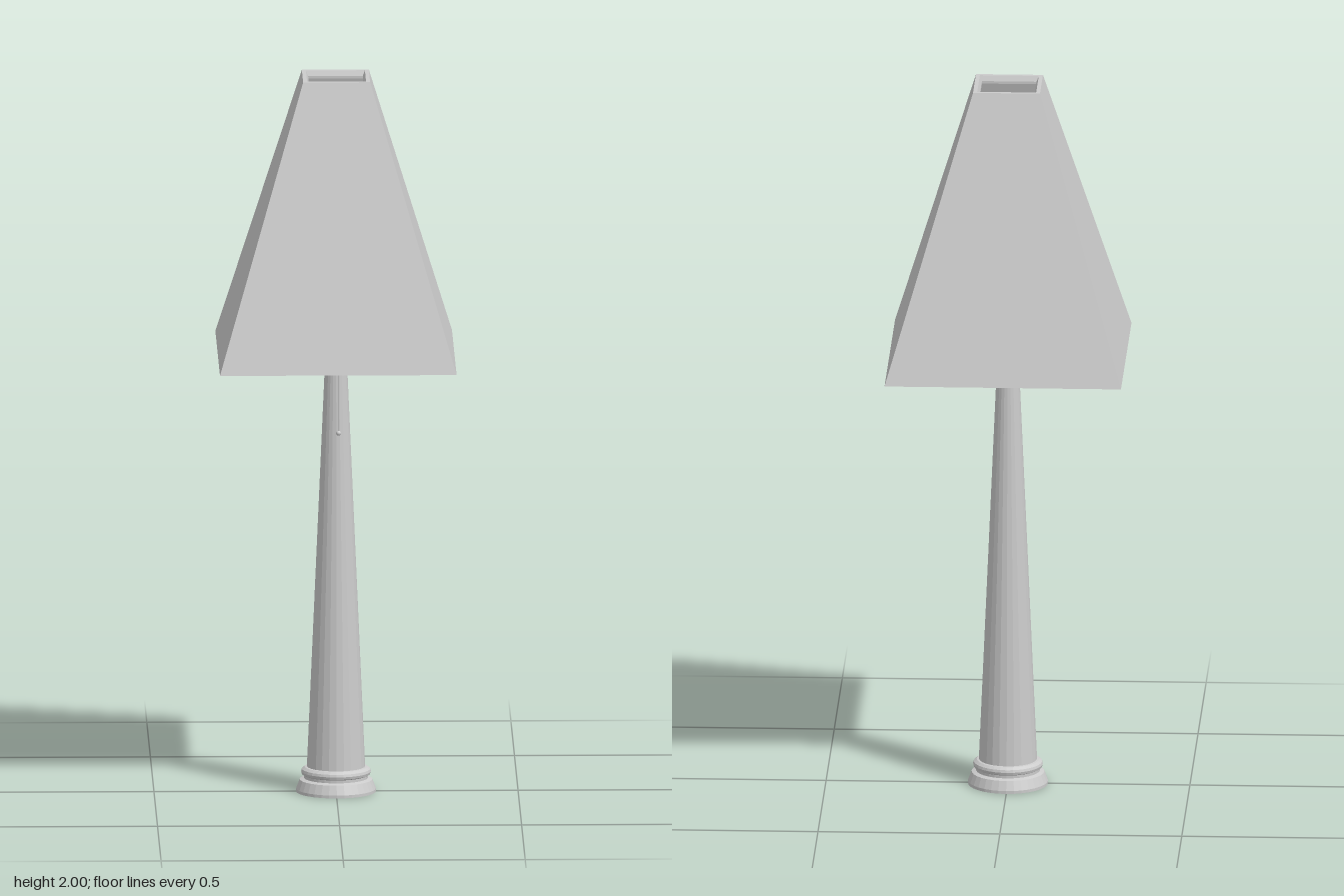
import * as THREE from 'three';

const flat = new THREE.MeshStandardMaterial({ color: 0xcccccc, flatShading: true });
const smooth = new THREE.MeshStandardMaterial({ color: 0xcccccc });

function add(parent, name, geometry, material, x = 0, y = 0, z = 0) {
  const mesh = new THREE.Mesh(geometry, material);
  mesh.name = name;
  mesh.position.set(x, y, z);
  parent.add(mesh);
  return mesh;
}

// Turned profile given as [radius, height] pairs
function lathe(points, sides, phiStart = 0) {
  return new THREE.LatheGeometry(points.map(([r, y]) => new THREE.Vector2(r, y)), sides, phiStart);
}

// Square ring or frustum: profile given as [half width, height] pairs
function squareLathe(points) {
  return lathe(points.map(([h, y]) => [h * Math.SQRT2, y]), 4, Math.PI / 4);
}

export function createModel() {
  const lamp = new THREE.Group();
  lamp.name = 'tableLamp';

  // Moulded foot with a flared plinth, a groove and a rounded ring
  add(lamp, 'foot', lathe([
    [0, 0], [0.11, 0], [0.11, 0.008], [0.1, 0.034], [0.088, 0.038], [0.088, 0.046],
    [0.094, 0.049], [0.096, 0.056], [0.094, 0.063], [0.086, 0.069], [0.08, 0.07], [0, 0.07],
  ], 32), flat);

  // Tapered column, rising to the panel inside the shade
  add(lamp, 'column', new THREE.CylinderGeometry(0.025, 0.08, 1.25, 24), flat, 0, 0.695, 0);

  // Hollow pyramid shade with a bevelled lip around the top opening
  add(lamp, 'shade', squareLathe([
    [0.325, 1.225], [0.092, 2], [0.081, 2], [0.075, 1.985],
    [0.075, 1.978], [0.304, 1.225], [0.325, 1.225],
  ]), flat);

  // Panel closing the shade just above its lower rim
  add(lamp, 'shadePanel', new THREE.BoxGeometry(0.56, 0.008, 0.56), flat, 0, 1.324, 0);

  // Bulb standing on a short socket
  const bulb = new THREE.Group();
  bulb.name = 'bulb';
  bulb.position.set(-0.006, 0, -0.005);
  lamp.add(bulb);
  add(bulb, 'socket', new THREE.CylinderGeometry(0.022, 0.022, 0.06, 20), smooth, 0, 1.355, 0);
  add(bulb, 'globe', new THREE.SphereGeometry(0.043, 32, 20), smooth, 0, 1.415, 0);

  // Pull cord with a small bead
  const pull = new THREE.Group();
  pull.name = 'pullCord';
  pull.position.set(0.005, 0, 0.105);
  lamp.add(pull);
  add(pull, 'cord', new THREE.CylinderGeometry(0.002, 0.002, 0.3, 8), smooth, 0, 1.172, 0);
  add(pull, 'bead', new THREE.SphereGeometry(0.007, 12, 8), smooth, 0, 1.021, 0);

  return lamp;
}
